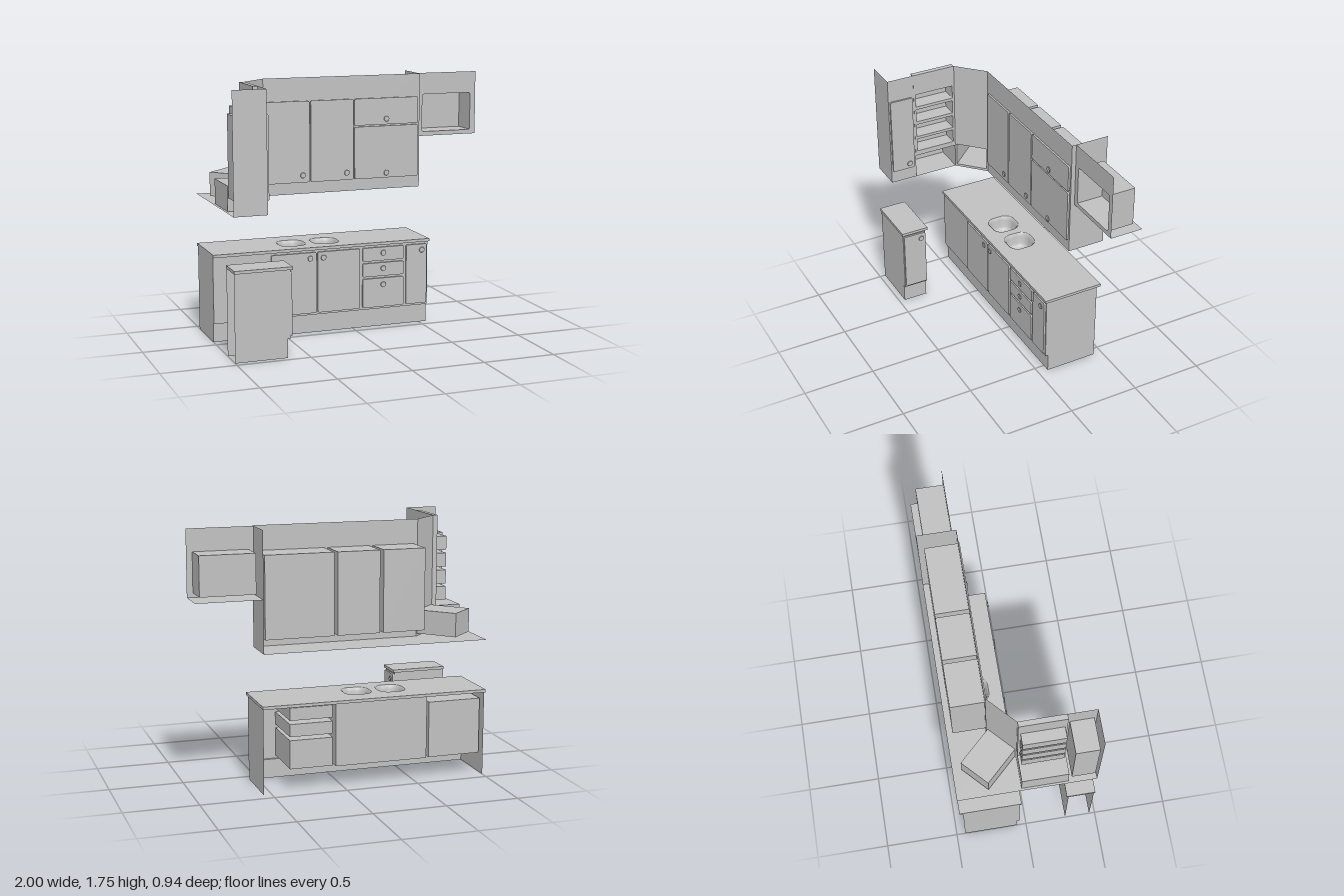
import * as THREE from 'three';

const paint = new THREE.MeshStandardMaterial({ color: 0xc0c0c0, side: THREE.DoubleSide });
paint.name = 'cabinet grey';

function add(parent, name, geometry, x = 0, y = 0, z = 0) {
  const mesh = new THREE.Mesh(geometry, paint);
  mesh.name = name;
  mesh.position.set(x, y, z);
  parent.add(mesh);
  return mesh;
}

// Corner points of a rounded rectangle, always 4 * (steps + 1) of them
function roundedLoop(x0, x1, y0, y1, r, steps = 4) {
  const centres = [[x1 - r, y1 - r], [x0 + r, y1 - r], [x0 + r, y0 + r], [x1 - r, y0 + r]];
  const points = [];
  centres.forEach(([cx, cy], k) => {
    for (let i = 0; i <= steps; i++) {
      const a = (k + i / steps) * Math.PI / 2;
      points.push(new THREE.Vector2(cx + r * Math.cos(a), cy + r * Math.sin(a)));
    }
  });
  return points;
}

// Each wall has its own frame: u runs right, v up, and the wall faces local +z
function wall(parent, name, x, z, angle) {
  const g = new THREE.Group();
  g.name = name;
  g.position.set(x, 0, z);
  g.rotation.y = angle;
  parent.add(g);
  return g;
}

const rect = (x0, x1, y0, y1) => [[x0, y0], [x1, y0], [x1, y1], [x0, y1]];
const vectors = points => points.map(([x, y]) => new THREE.Vector2(x, y));

// Flat outline with optional holes, given a thickness where one is wanted
function plate(points, holes, thick) {
  const shape = new THREE.Shape(points);
  shape.holes = holes.map(h => new THREE.Path(h));
  return thick
    ? new THREE.ExtrudeGeometry(shape, { depth: thick, bevelEnabled: false })
    : new THREE.ShapeGeometry(shape);
}

// Upright panel [u0, u1, v0, v1] with optional openings
function panel(parent, name, bounds, holes = [], w = 0, thick = 0) {
  const loops = holes.map(h => roundedLoop(...h));
  return add(parent, name, plate(vectors(rect(...bounds)), loops, thick), 0, 0, w);
}

// Horizontal slab from an outline in x and z
function slab(parent, name, points, y, thick = 0, holes = []) {
  const outline = vectors(points.map(([x, z]) => [x, -z]));
  return add(parent, name, plate(outline, holes, thick).rotateX(-Math.PI / 2), 0, y, 0);
}

// Hollow box behind a wall, open at its front; more faces may be left out
function carcass(parent, name, [u0, u1, v0, v1], depth, front = 0, omit = [4]) {
  const g = new THREE.BoxGeometry(u1 - u0, v1 - v0, depth);
  g.setIndex(Array.from(g.index.array).filter((_, i) => !omit.includes(Math.floor(i / 6))));
  g.clearGroups();
  return add(parent, name, g, (u0 + u1) / 2, (v0 + v1) / 2, front - depth / 2);
}

// Door or drawer front with its round knob
function door(parent, name, bounds, [u, v]) {
  add(parent, name, plate(roundedLoop(...bounds, 0.01), [], 0.013));
  const stem = new THREE.CylinderGeometry(0.008, 0.008, 0.008, 12).rotateX(Math.PI / 2);
  const disc = new THREE.CylinderGeometry(0.018, 0.02, 0.005, 24).rotateX(Math.PI / 2);
  add(parent, name + 'KnobStem', stem, u, v, 0.016);
  add(parent, name + 'Knob', disc, u, v, 0.021);
}

// Sink bowl lofted from shrinking rounded loops
function basin(parent, cx, cz, top) {
  const levels = [[0, 0], [0.008, 0.006], [0.014, 0.03], [0.02, 0.075], [0.03, 0.094], [0.05, 0.1]];
  const n = 36, pos = [], index = [];
  levels.forEach(([inset, drop], k) => {
    const hx = 0.095 - inset, hz = 0.1 - inset;
    for (const p of roundedLoop(cx - hx, cx + hx, cz - hz, cz + hz, 0.07 - inset * 0.6, 8))
      pos.push(p.x, top - drop, p.y);
    if (k) for (let i = 0; i < n; i++) {
      const a = (k - 1) * n + i, b = (k - 1) * n + (i + 1) % n;
      index.push(a, b, a + n, b, b + n, a + n);
    }
  });
  // Bowl floor
  const last = (levels.length - 1) * n;
  pos.push(cx, top - 0.102, cz);
  for (let i = 0; i < n; i++) index.push(last + i, last + (i + 1) % n, last + n);
  const g = new THREE.BufferGeometry();
  g.setAttribute('position', new THREE.Float32BufferAttribute(pos, 3));
  g.setIndex(index);
  g.computeVertexNormals();
  add(parent, 'sinkBasin', g);
  add(parent, 'sinkDrain', new THREE.CylinderGeometry(0.014, 0.014, 0.006, 16), cx, top - 0.1, cz);
}

// Side panel with a toe notch
function endPanel(parent, name, front, toe, back) {
  const pts = [[toe, 0], [back, 0], [back, 0.585], [front, 0.585], [front, 0.13], [toe, 0.13]];
  return add(parent, name, plate(vectors(pts), [], 0));
}

function baseCabinets(root) {
  const run = wall(root, 'mainBase', 0, -0.05, 0);
  panel(run, 'baseFront', [-1, 0.555, 0.13, 0.585]);
  panel(run, 'toeKick', [-1, 0.555, 0, 0.13], [], -0.02);
  slab(run, 'toeLedge', rect(-1, 0.555, -0.02, 0), 0.13);
  for (const x of [-1, 0.555]) {
    const side = endPanel(run, 'basePanel', 0, 0.02, 0.39);
    side.rotation.y = Math.PI / 2;
    side.position.x = x;
  }
  door(run, 'sinkDoorRight', [-0.595, -0.275, 0.145, 0.57], [-0.32, 0.53]);
  door(run, 'sinkDoorLeft', [-0.265, 0.045, 0.145, 0.57], [-0.225, 0.53]);
  door(run, 'narrowDoor', [0.39, 0.545, 0.145, 0.57], [0.505, 0.53]);
  for (const [v0, v1, k] of [[0.475, 0.57, 0.53], [0.365, 0.46, 0.42], [0.145, 0.35, 0.305]]) {
    door(run, 'drawer', [0.065, 0.37, v0, v1], [0.215, k]);
    carcass(run, 'drawerBox', [0.07, 0.365, v0 + 0.005, v1 - 0.005], 0.35);
  }
  carcass(run, 'sinkCabinet', [-0.595, 0.05, 0.145, 0.575], 0.36, 0, [2, 4]);
  carcass(run, 'cornerCabinet', [-0.985, -0.615, 0.145, 0.53], 0.35);

  // Countertop with two bowls
  const sinks = [-0.395, -0.152];
  slab(root, 'countertop', rect(-1, 0.565, -0.465, -0.038), 0.585, 0.02,
    sinks.map(x => roundedLoop(x - 0.095, x + 0.095, 0.13, 0.33, 0.07, 8)));
  for (const x of sinks) basin(root, x, -0.23, 0.605);

  // Short base at the end of the other wall
  const end = wall(root, 'endBase', -0.625, 0, Math.PI / 2);
  panel(end, 'endBaseFront', [-0.46, -0.285, 0.13, 0.585]);
  panel(end, 'endBaseToe', [-0.46, -0.285, 0, 0.13], [], -0.02);
  slab(end, 'endBaseLedge', rect(-0.46, -0.285, -0.02, 0), 0.13);
  door(end, 'endBaseDoor', [-0.455, -0.29, 0.145, 0.57], [-0.325, 0.53]);
  for (const z of [0.285, 0.46]) endPanel(root, 'endBaseSide', -0.625, -0.645, -1).position.z = z;
  slab(root, 'endCountertop', rect(-1, -0.61, 0.273, 0.469), 0.585, 0.02);
}

function wallCabinets(root) {
  const run = wall(root, 'mainUpper', 0, -0.21, 0);
  panel(run, 'upperFront', [-0.59, 0.555, 0.95, 1.75]);
  const upperEnd = panel(run, 'upperEnd', [0, 0.26, 0.95, 1.75]);
  upperEnd.rotation.y = Math.PI / 2;
  upperEnd.position.x = 0.555;
  door(run, 'upperDoor', [-0.57, -0.265, 1.03, 1.59], [-0.315, 1.08]);
  door(run, 'upperDoor', [-0.255, 0.055, 1.03, 1.59], [0.005, 1.08]);
  door(run, 'hoodDoor', [0.065, 0.54, 1.405, 1.59], [0.3, 1.445]);
  door(run, 'lowerHoodDoor', [0.065, 0.54, 1.03, 1.395], [0.3, 1.065]);
  for (const [a, b] of [[-0.56, -0.27], [-0.245, 0.045], [0.07, 0.535]])
    carcass(run, 'upperCarcass', [a, b, 1.035, 1.585], 0.22);

  // Slanted corner with a low open cubby
  const corner = wall(root, 'cornerUpper', -0.77, -0.04, Math.atan2(0.17, 0.18));
  panel(corner, 'cornerFront', [0, 0.2476, 0.95, 1.75], [[0.012, 0.236, 0.967, 1.13, 0.004]]);
  carcass(corner, 'cornerCubby', [0.012, 0.236, 0.967, 1.13], 0.285);

  // Side wall: shelf openings, low niche and end cabinet
  const side = wall(root, 'sideUpper', -0.77, 0, Math.PI / 2);
  const shelves = [1.155, 1.27, 1.388, 1.505].map(v => [-0.255, 0.025, v, v + 0.095]);
  panel(side, 'shelfFront', [-0.27, 0.04, 1.12, 1.75], shelves.map(s => [...s, 0.004]), -0.033, 0.035);
  for (const s of shelves) carcass(side, 'shelfCubby', s, 0.075, -0.033);
  carcass(side, 'lowNiche', [-0.27, 0.04, 0.952, 1.12], 0.21);
  panel(side, 'endFront', [-0.46, -0.27, 0.95, 1.75]);
  door(side, 'endDoor', [-0.45, -0.285, 1.04, 1.59], [-0.325, 1.08]);
  carcass(side, 'endCarcass', [-0.445, -0.29, 1.045, 1.585], 0.21);
  panel(root, 'endUpperPanel', [-0.995, -0.77, 0.95, 1.75], [], 0.46);

  // Shared underside
  slab(root, 'upperUnderside', [[-0.995, -0.47], [0.555, -0.47], [0.555, -0.21], [-0.59, -0.21],
    [-0.77, -0.04], [-0.77, 0.46], [-0.995, 0.46]], 0.95);

  // Appliance niche beyond the main run
  const niche = wall(root, 'applianceNiche', 0, -0.24, 0);
  panel(niche, 'nicheFront', [0.555, 1, 1.305, 1.75], [[0.59, 0.96, 1.335, 1.6, 0.015]]);
  carcass(niche, 'nicheBox', [0.59, 0.96, 1.335, 1.6], 0.185);
  slab(root, 'nicheShelf', rect(0.555, 1, -0.47, -0.24), 1.305);
}

export function createModel() {
  const root = new THREE.Group();
  root.name = 'kitchenCabinets';
  baseCabinets(root);
  wallCabinets(root);
  return root;
}
